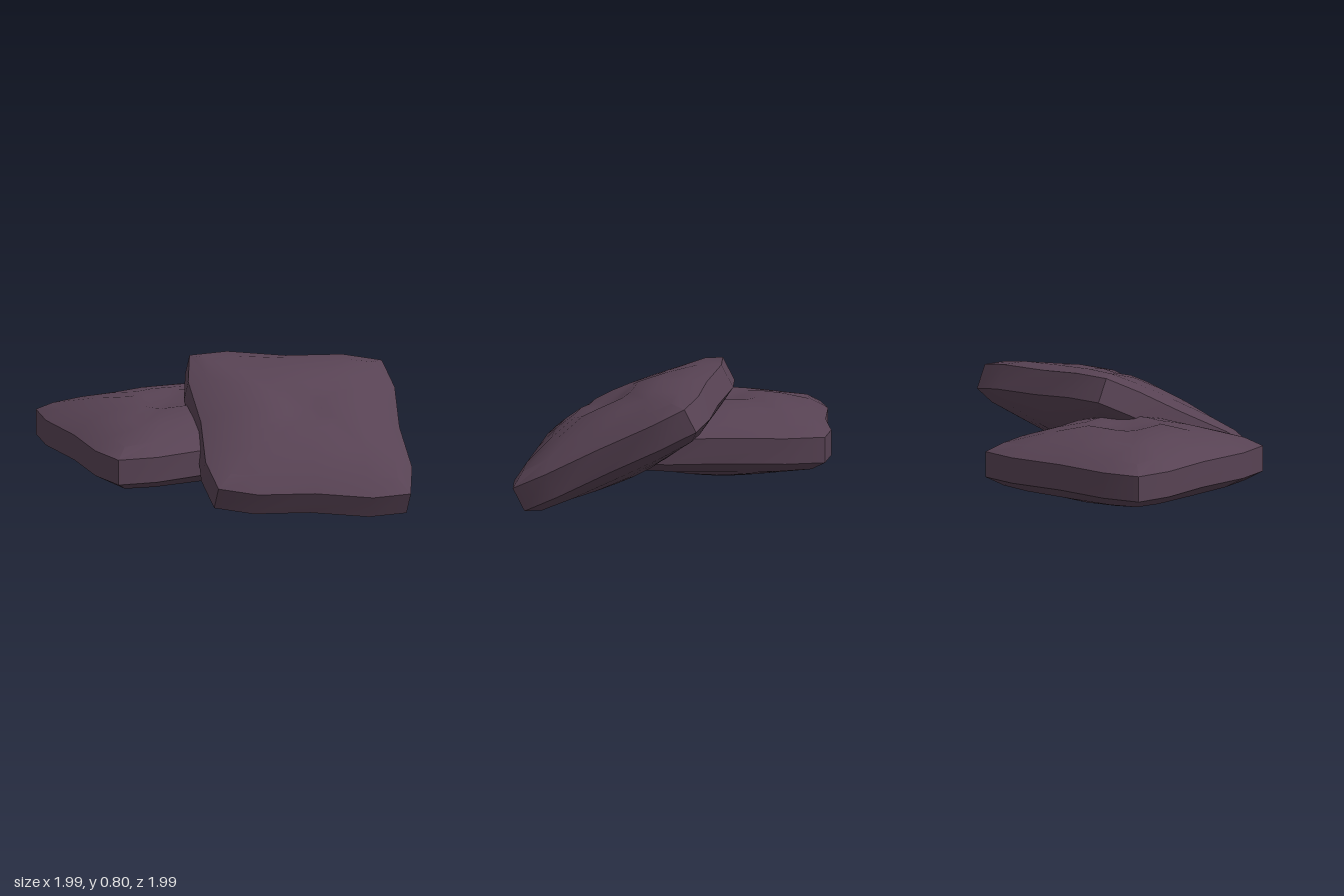
import * as THREE from 'three';
import { toCreasedNormals } from 'three/addons/utils/BufferGeometryUtils.js';

// Each ring of the cushion: corner offset, quarter position along the side,
// outline at the quarter, outline at mid-side, height at mid-side, height at corner
const RINGS = [
  [0.15, 0.12, 0.20, 0.21, -0.235, -0.225],
  [0.34, 0.22, 0.36, 0.37, -0.20, -0.18],
  [0.53, 0.33, 0.54, 0.53, -0.15, -0.135],
  [0.61, 0.365, 0.655, 0.63, -0.08, -0.08],
  [0.61, 0.365, 0.655, 0.63, 0.08, 0.08],
  [0.53, 0.33, 0.54, 0.53, 0.15, 0.135],
  [0.34, 0.22, 0.36, 0.37, 0.21, 0.19],
  [0.15, 0.12, 0.20, 0.21, 0.245, 0.235],
  [0.09, 0.06, 0.11, 0.11, 0.222, 0.222],
];
const SIDE_POINTS = 4;
const COUNT = SIDE_POINTS * 4;

function cushionGeometry() {
  const positions = [];
  const index = [];
  for (const [corner, along, quarter, mid, hMid, hCorner] of RINGS) {
    const hQuarter = hMid * 0.7 + hCorner * 0.3;
    const side = [
      [-corner, corner, hCorner], [-along, quarter, hQuarter],
      [0, mid, hMid], [along, quarter, hQuarter],
    ];
    for (let s = 0; s < 4; s++) {
      // Turn the same side profile through four quarter turns
      const c = Math.round(Math.cos(s * Math.PI / 2));
      const n = Math.round(Math.sin(s * Math.PI / 2));
      for (const [x, z, y] of side) positions.push(x * c + z * n, y, -x * n + z * c);
    }
  }
  // Skin neighbouring rings
  for (let r = 0; r < RINGS.length - 1; r++) {
    for (let i = 0; i < COUNT; i++) {
      const j = (i + 1) % COUNT;
      const a = r * COUNT + i, b = r * COUNT + j;
      index.push(a, b, b + COUNT, a, b + COUNT, a + COUNT);
    }
  }
  // Close the underside and the dimpled top
  const bottom = positions.length / 3;
  positions.push(0, -0.25, 0, 0, 0.215, 0);
  const last = (RINGS.length - 1) * COUNT;
  for (let i = 0; i < COUNT; i++) {
    const j = (i + 1) % COUNT;
    index.push(bottom, j, i, bottom + 1, last + i, last + j);
  }
  const geometry = new THREE.BufferGeometry();
  geometry.setAttribute('position', new THREE.Float32BufferAttribute(positions, 3));
  geometry.setIndex(index);
  return toCreasedNormals(geometry, 0.6);
}

export function createModel() {
  const group = new THREE.Group();
  group.name = 'cushions';
  const fabric = new THREE.MeshStandardMaterial({ color: 0x574253 });
  fabric.name = 'plum fabric';
  const geometry = cushionGeometry();

  // Cushion lying flat
  const flat = new THREE.Mesh(geometry, fabric);
  flat.name = 'flatCushion';
  flat.position.set(-0.345, 0.31, -0.33);
  group.add(flat);

  // Cushion leaning on the first one
  const leaning = new THREE.Mesh(geometry, fabric);
  leaning.name = 'leaningCushion';
  const xAxis = new THREE.Vector3(0.971, -0.087, 0.221).normalize();
  const yAxis = new THREE.Vector3(-0.245, -0.444, 0.861).cross(xAxis).normalize();
  const zAxis = new THREE.Vector3().crossVectors(xAxis, yAxis);
  leaning.quaternion.setFromRotationMatrix(new THREE.Matrix4().makeBasis(xAxis, yAxis, zAxis));
  leaning.position.set(0.255, 0.415, 0.305);
  group.add(leaning);
  return group;
}
